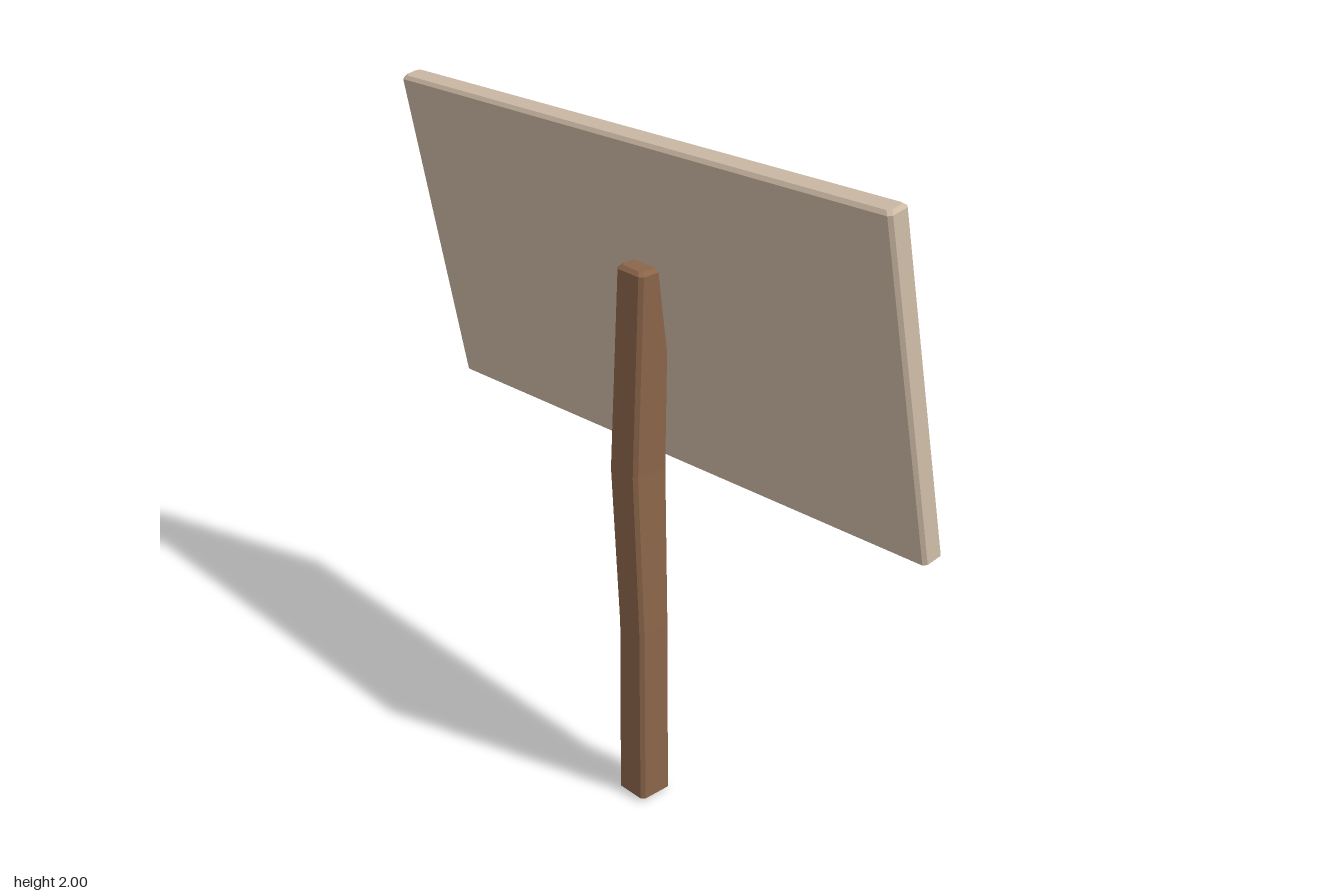
import * as THREE from 'three';

// Lofts a bar with chamfered corners through sections [y, centreX, centreZ, halfWidth, halfDepth]
function chamferedBar(sections, c) {
  const first = sections[0], last = sections[sections.length - 1];
  const inset = ([y, x, z, w, d]) => [y, x, z, w - c, d - c];
  const raise = ([y, ...rest], dy) => [y + dy, ...rest];
  const all = [inset(first), raise(first, c), ...sections.slice(1, -1), raise(last, -c), inset(last)];

  const positions = [], index = [];
  for (const [y, x, z, w, d] of all) {
    const corners = [
      [w, -d + c], [w, d - c], [w - c, d], [-w + c, d],
      [-w, d - c], [-w, -d + c], [-w + c, -d], [w - c, -d],
    ];
    for (const [px, pz] of corners) positions.push(x + px, y, z + pz);
  }
  for (let i = 0; i < all.length - 1; i++) {
    for (let j = 0; j < 8; j++) {
      const a = i * 8 + j, b = i * 8 + (j + 1) % 8;
      index.push(a, a + 8, b, b, a + 8, b + 8);
    }
  }
  // End caps as fans
  const top = (all.length - 1) * 8;
  for (let j = 1; j < 7; j++) {
    index.push(0, j, j + 1);
    index.push(top, top + j + 1, top + j);
  }
  const indexed = new THREE.BufferGeometry();
  indexed.setAttribute('position', new THREE.Float32BufferAttribute(positions, 3));
  indexed.setIndex(index);
  const geometry = indexed.toNonIndexed();
  geometry.computeVertexNormals();
  return geometry;
}

function makePart(name, geometry, color) {
  const mesh = new THREE.Mesh(geometry, new THREE.MeshStandardMaterial({ color, flatShading: true }));
  mesh.name = name;
  return mesh;
}

export function createModel() {
  const model = new THREE.Group();
  model.name = 'signpost';

  // Slightly crooked wooden post
  model.add(makePart('post', chamferedBar([
    [0, 0.026, 0.058, 0.052, 0.053],
    [0.56, 0.026, 0.059, 0.049, 0.052],
    [1.03, 0.004, 0.058, 0.053, 0.058],
    [1.61, 0.025, 0.058, 0.049, 0.051],
  ], 0.01), 0x8b6549));

  // Rectangular board, rolled sideways and tilted forward behind the post
  const board = makePart('board', chamferedBar([
    [-0.464, 0, 0, 0.897, 0.0325],
    [0.464, 0, 0, 0.897, 0.0325],
  ], 0.009), 0xcdbaa5);
  board.position.set(0, 1.49, 0);
  board.rotation.set(0.157, 0, 0.053);
  model.add(board);

  return model;
}
